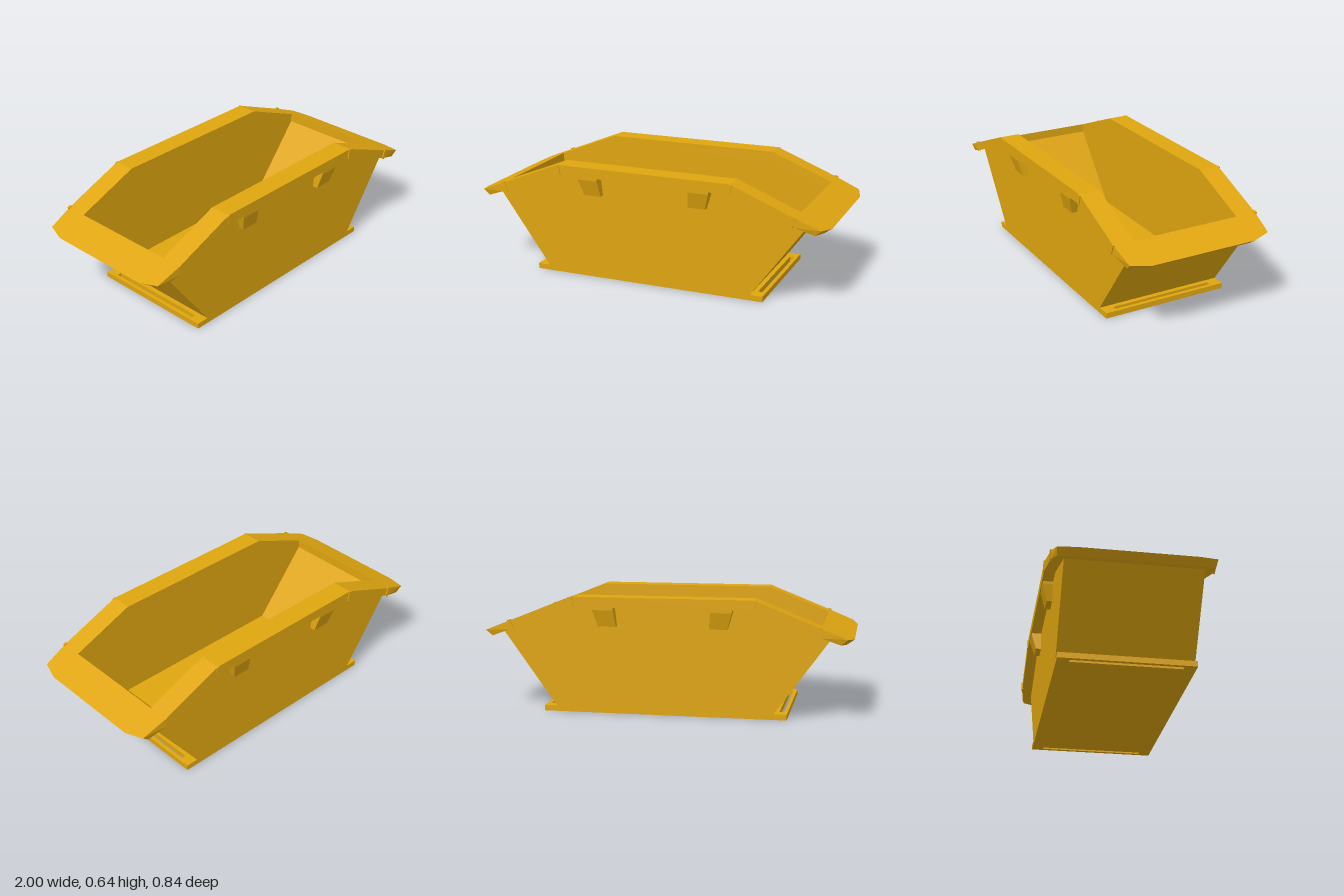
import * as THREE from 'three';
import { ConvexGeometry } from 'three/addons/geometries/ConvexGeometry.js';

const material = new THREE.MeshStandardMaterial({ color: 0xdfa510, flatShading: true });

// Heights of the rim's upper and lower surfaces along the length
const rimTop = (x) => 0.635 - 0.4 * Math.max(0, Math.abs(x) - 0.49);
const rimBottom = (x) => 0.58 - 0.37 * Math.max(0, Math.abs(x) - 0.48);

function add(parent, name, geometry) {
  const mesh = new THREE.Mesh(geometry, material);
  mesh.name = name;
  parent.add(mesh);
  return mesh;
}

// Side profile (x, y) extruded from z0 to z1
function slab(points, z0, z1) {
  const shape = new THREE.Shape(points.map(([x, y]) => new THREE.Vector2(x, y)));
  const geometry = new THREE.ExtrudeGeometry(shape, { depth: z1 - z0, bevelEnabled: false });
  return geometry.translate(0, 0, z0);
}

// Adds the mirrored left half to a right half profile
const mirrored = (half) => [...half, ...half.map(([x, y]) => [-x, y]).reverse()];

const hull = (points) => new ConvexGeometry(points.map((p) => new THREE.Vector3(...p)));

function rectangle(path, x0, x1, z) {
  return path.moveTo(x0, -z).lineTo(x1, -z).lineTo(x1, z).lineTo(x0, z).closePath();
}

export function createModel() {
  const group = new THREE.Group();
  group.name = 'skipContainer';

  // Base plate with a slot through each end flange
  const plate = rectangle(new THREE.Shape(), -0.66, 0.66, 0.355);
  for (const s of [-1, 1]) {
    plate.holes.push(rectangle(new THREE.Path(), s * 0.628 - 0.012, s * 0.628 + 0.012, 0.29));
  }
  const plateGeometry = new THREE.ExtrudeGeometry(plate, { depth: 0.03, bevelEnabled: false });
  add(group, 'basePlate', plateGeometry.rotateX(-Math.PI / 2));

  // Floor and sloping end walls in one folded section
  add(group, 'floorAndEndWalls', slab(mirrored([
    [0.59, 0.03], [0.88, rimBottom(0.88)], [0.835, rimBottom(0.835)], [0.53, 0.08],
  ]), -0.3, 0.3));

  for (const side of [-1, 1]) {
    const span = (a, b) => (side > 0 ? [a, b] : [-b, -a]);

    // Long side wall
    add(group, 'sideWall', slab(mirrored([
      [0.59, 0.03], [0.88, rimBottom(0.88)], [0.48, 0.58],
    ]), ...span(0.3, 0.355)));

    // Bent rail along the side wall
    add(group, 'sideRail', slab(mirrored([
      [0.48, 0.58], [0.835, rimBottom(0.835)], [0.835, rimTop(0.835)], [0.49, 0.635],
    ]), ...span(0.3, 0.415)));

    for (const end of [-1, 1]) {
      // Joint strips on the rail
      for (const x of [0.487, 0.825]) {
        const y = (rimTop(x) + rimBottom(x)) / 2;
        const strip = add(group, 'railJoint', new THREE.BoxGeometry(0.02, 0.056, 0.012));
        strip.position.set(end * x, y, side * 0.414);
        strip.rotation.z = -end * (x > 0.5 ? 0.38 : 0.19);
      }

      // Tapered lifting lug
      const lug = [];
      const sections = [
        [0.58, 0.262, 0.375, 0.41], [0.565, 0.26, 0.373, 0.41], [0.475, 0.25, 0.347, 0.385],
      ];
      for (const [y, x0, x1, z] of sections) {
        for (const x of [x0, x1]) {
          lug.push([end * x, y, side * 0.35], [end * x, y, side * z]);
        }
      }
      add(group, 'liftingLug', hull(lug));
    }
  }

  // Sloping end lips with clipped corners and an undercut edge
  for (const end of [-1, 1]) {
    const points = [];
    for (const side of [-1, 1]) {
      for (const [x, z] of [[0.835, 0.415], [0.97, 0.4], [1, 0.3]]) {
        points.push([end * x, rimTop(x), side * z]);
      }
      for (const [x, z] of [[0.835, 0.415], [0.935, 0.395], [0.96, 0.3]]) {
        points.push([end * x, rimBottom(x), side * z]);
      }
    }
    add(group, 'endLip', hull(points));
  }

  return group;
}
